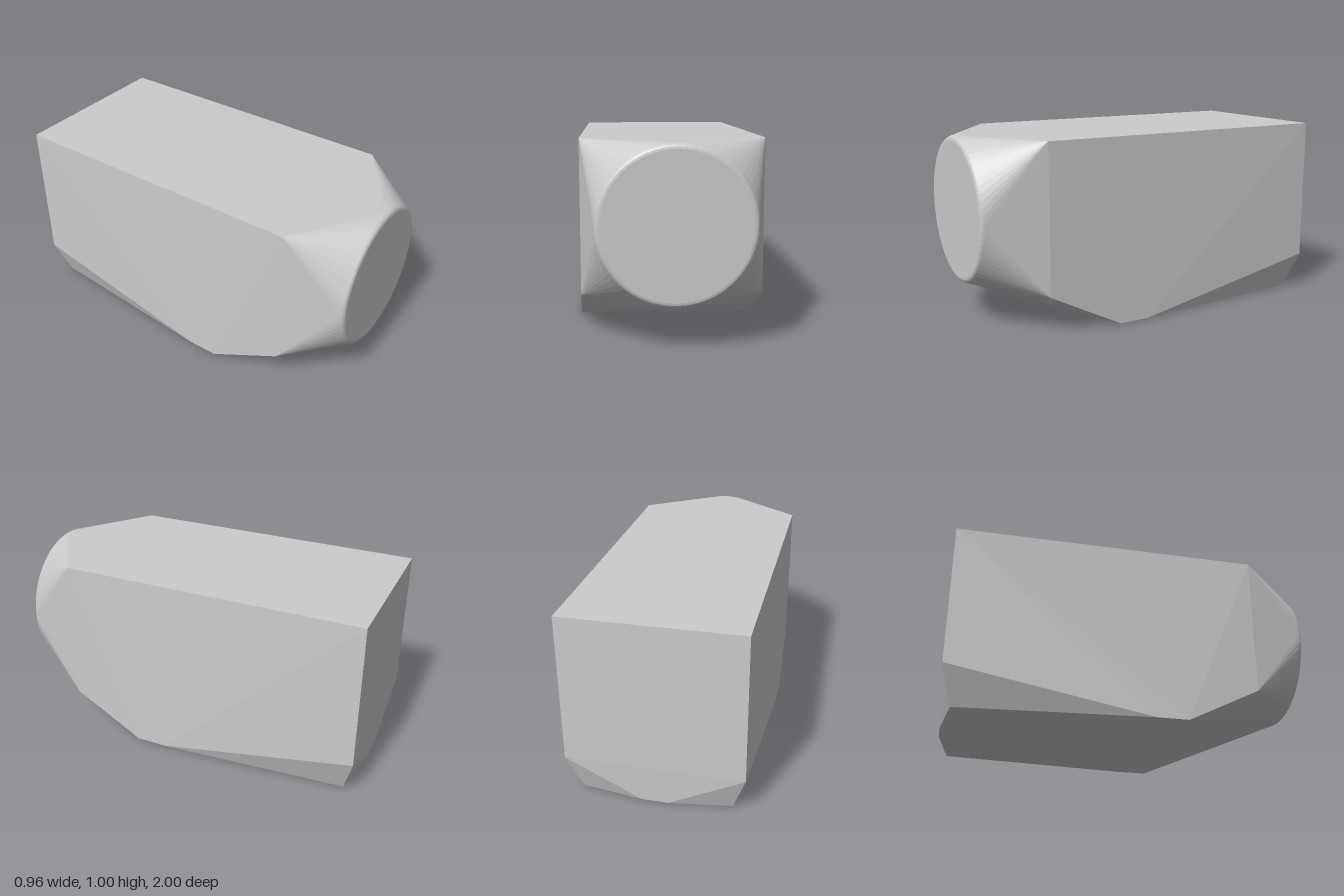
import * as THREE from 'three';
import { ConvexGeometry } from 'three/addons/geometries/ConvexGeometry.js';

export function createModel() {
  const group = new THREE.Group();
  const points = [];
  const mirrored = (x, y, z) => {
    for (const s of [-1, 1]) points.push(new THREE.Vector3(s * x, y, z));
  };

  // Upper box: four corners at the back and four at the shoulder
  for (const z of [-1, 0.67]) {
    mirrored(0.465, 1.005, z);
    mirrored(0.465, 0.207, z);
  }

  // Flat underside: wide at the front, drawn in at the back
  mirrored(0.48, 0, 0.27);
  mirrored(0.48, 0, 0.1);
  mirrored(0.395, 0, -0.943);
  mirrored(0.07, 0, -0.99);

  // Round nose with a small filleted rim
  const segments = 64, radius = 0.392, fillet = 0.028, centerY = 0.612;
  for (let step = 0; step <= 4; step++) {
    const t = (step / 4) * Math.PI / 2;
    const r = radius - fillet * (1 - Math.cos(t));
    const z = 1 - fillet * (1 - Math.sin(t));
    for (let i = 0; i < segments; i++) {
      const a = (i / segments) * Math.PI * 2;
      points.push(new THREE.Vector3(r * Math.cos(a), centerY + r * Math.sin(a), z));
    }
  }

  // Taut skin over all the sections
  const body = new THREE.Mesh(
    new ConvexGeometry(points),
    new THREE.MeshStandardMaterial({ color: 0xcccccc })
  );
  body.name = 'body';
  group.add(body);
  return group;
}
